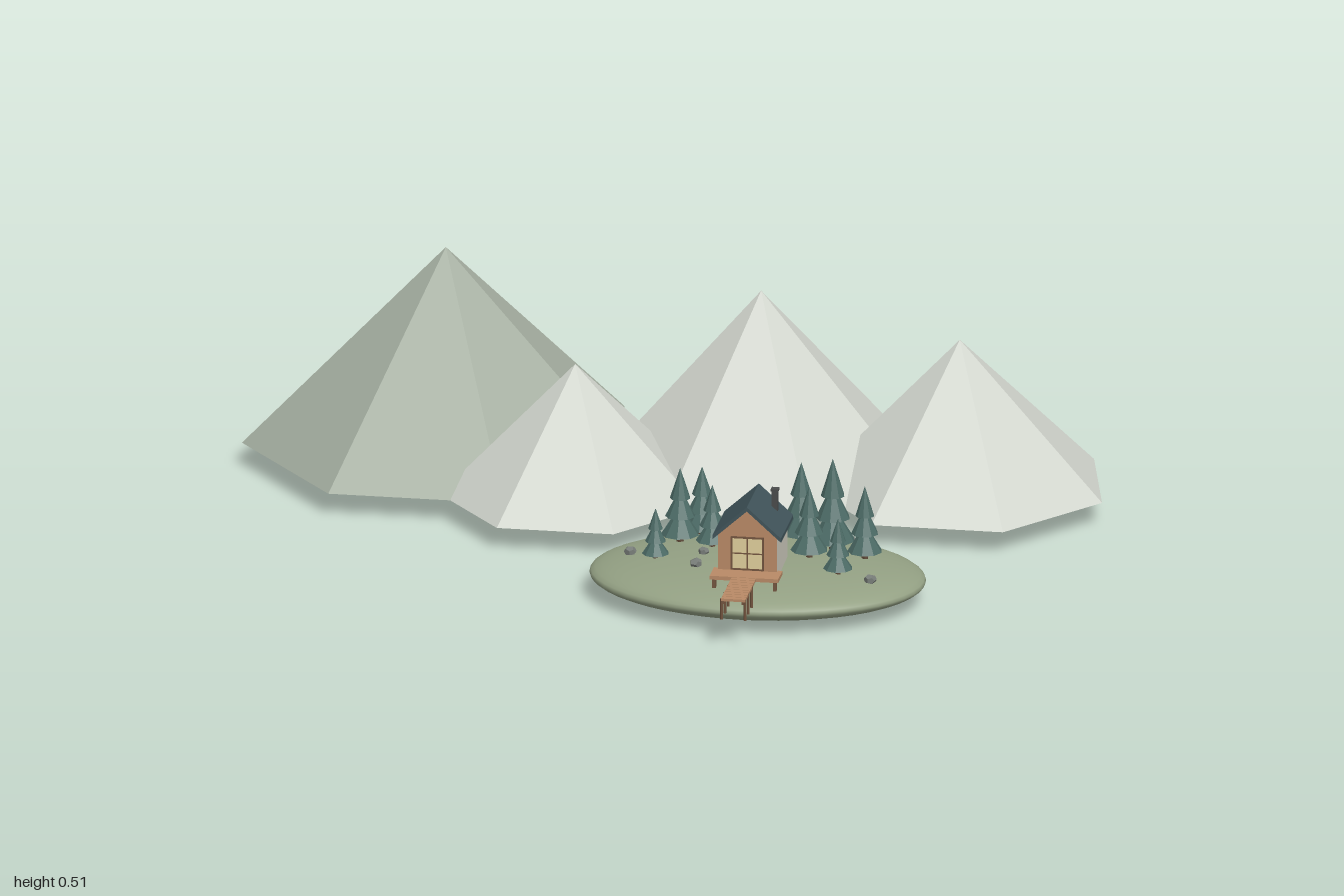
import * as THREE from 'three';

const material = (color, flatShading = false, side = THREE.FrontSide) =>
  new THREE.MeshStandardMaterial({ color, flatShading, side });

const M = {
  farPeak: material(0xa6b0a2, true),
  peak: material(0xd2d6ce, true),
  grass: material(0x93a083),
  foliage: material(0x4c6b66, true),
  trunk: material(0x5e4837, true),
  rock: material(0x777c78, true),
  wood: material(0xb98a66),
  darkWood: material(0x74553f),
  wall: material(0xcccabc),
  roof: material(0x40545a),
  glass: material(0xe0cf9c),
  chimney: material(0x4a4c4c),
};

function add(parent, name, geometry, mat, x = 0, y = 0, z = 0) {
  const mesh = new THREE.Mesh(geometry, mat);
  mesh.name = name;
  mesh.position.set(x, y, z);
  parent.add(mesh);
  return mesh;
}

const box = (w, h, d) => new THREE.BoxGeometry(w, h, d);

function group(parent, name, x = 0, y = 0, z = 0) {
  const g = new THREE.Group();
  g.name = name;
  g.position.set(x, y, z);
  parent.add(g);
  return g;
}

const ISLAND = { x: 0.305, y: 0.053, z: 0.46, rx: 0.386, ry: 0.053, rz: 0.27 };

// Height of the island surface under a point
function groundY(x, z) {
  const u = (x - ISLAND.x) / ISLAND.rx, v = (z - ISLAND.z) / ISLAND.rz;
  return ISLAND.y + ISLAND.ry * Math.sqrt(Math.max(0, 1 - u * u - v * v));
}

// Seven-sided peaks with one corner pointing to the back
function buildMountains(root) {
  const mountains = group(root, 'mountains');
  const base = 0.053;
  [
    [-0.55, -0.355, 0.465, 0.515, M.farPeak],
    [0.19, -0.28, 0.385, 0.478, M.peak],
    [0.655, -0.24, 0.35, 0.4, M.peak],
    [-0.2, -0.045, 0.31, 0.36, M.peak],
  ].forEach(([x, z, r, top, mat]) => {
    const h = top - base;
    add(mountains, 'mountain', new THREE.ConeGeometry(r, h, 7), mat, x, base + h / 2, z).rotation.y = Math.PI;
  });
}

// Trunk and three stacked cones
function buildTree(parent, x, z, r, top) {
  const y = groundY(x, z) - 0.004;
  const h = top - y;
  const tree = group(parent, 'tree', x, y, z);
  add(tree, 'trunk', new THREE.CylinderGeometry(r * 0.16, r * 0.2, h * 0.2, 6), M.trunk, 0, h * 0.1, 0);
  [[1, 0.12, 0.5], [0.78, 0.36, 0.74], [0.54, 0.6, 1]].forEach(([s, lo, hi]) => {
    add(tree, 'foliage', new THREE.ConeGeometry(r * s, (hi - lo) * h, 9), M.foliage, 0, (lo + hi) / 2 * h, 0);
  });
}

function polygon(points, depth) {
  const shape = new THREE.Shape(points.map(([x, y]) => new THREE.Vector2(x, y)));
  return new THREE.ExtrudeGeometry(shape, { depth, bevelEnabled: false });
}

function buildCabin(root) {
  const cabin = group(root, 'cabin', 0.307, 0, 0);
  const w = 0.068, eave = 0.203, ridge = 0.264, back = 0.47, front = 0.612;

  // Walls, wooden front and wooden back gable
  add(cabin, 'walls', polygon([[-w, 0.09], [w, 0.09], [w, eave], [0, ridge], [-w, eave]], front - back),
    M.wall, 0, 0, back);
  add(cabin, 'frontWall', polygon([[-w, 0.09], [w, 0.09], [w, eave], [0, ridge], [-w, eave]], 0.004),
    M.wood, 0, 0, front);
  add(cabin, 'backGable', polygon([[-w, eave], [w, eave], [0, ridge]], 0.004), M.wood, 0, 0, back - 0.004);

  // Gable roof with a slight overhang
  const e = 0.079, t = 0.01;
  add(cabin, 'roof', polygon([
    [-e, 0.193], [0, ridge], [e, 0.193], [e, 0.193 + t], [0, ridge + t], [-e, 0.193 + t],
  ], 0.168), M.roof, 0, 0, 0.457);

  // Large front window with frame and glazing bars
  const win = group(cabin, 'window', 0, 0.16, front + 0.005);
  add(win, 'glass', box(0.07, 0.076, 0.002), M.glass);
  for (const s of [-1, 1]) {
    add(win, 'frameSide', box(0.004, 0.08, 0.005), M.darkWood, s * 0.036, 0, 0);
    add(win, 'frameRail', box(0.076, 0.004, 0.005), M.darkWood, 0, s * 0.038, 0);
  }
  add(win, 'glazingBar', box(0.003, 0.076, 0.004), M.darkWood);
  add(win, 'glazingBar', box(0.07, 0.003, 0.004), M.darkWood);

  // Chimney
  add(cabin, 'chimney', box(0.014, 0.06, 0.014), M.chimney, 0.045, 0.248, 0.502);
  add(cabin, 'chimneyCap', box(0.018, 0.005, 0.018), M.chimney, 0.045, 0.278, 0.502);
}

function buildDock(root) {
  const dock = group(root, 'dock', 0.307, 0, 0);
  const y = 0.114;
  add(dock, 'deck', box(0.158, 0.009, 0.06), M.wood, 0, y, 0.635);

  // Planked walkway on two beams
  const planks = 9, start = 0.665, end = 0.816, pitch = (end - start) / planks;
  for (let i = 0; i < planks; i++) {
    add(dock, 'plank', box(0.056, 0.006, pitch * 0.86), M.wood, 0, y + 0.001, start + pitch * (i + 0.5));
  }
  for (const s of [-1, 1]) {
    add(dock, 'beam', box(0.005, 0.006, end - start), M.darkWood, s * 0.022, y - 0.005, (start + end) / 2);
    for (const z of [0.72, 0.767, 0.811]) {
      add(dock, 'post', new THREE.CylinderGeometry(0.0035, 0.0035, 0.05, 6), M.darkWood, s * 0.027, 0.092, z);
    }
    add(dock, 'deckPost', box(0.008, 0.03, 0.008), M.darkWood, s * 0.07, 0.098, 0.655);
  }
}

export function createModel() {
  const root = new THREE.Group();
  root.name = 'lakeIslandScene';

  buildMountains(root);

  // Island: flattened ball
  add(root, 'island', new THREE.SphereGeometry(1, 48, 24), M.grass, ISLAND.x, ISLAND.y, ISLAND.z)
    .scale.set(ISLAND.rx, ISLAND.ry, ISLAND.rz);

  buildCabin(root);
  buildDock(root);

  // Trees: x, z, radius, top height
  const trees = group(root, 'trees');
  [
    [0.15, 0.3, 0.043, 0.252], [0.112, 0.375, 0.044, 0.272], [0.193, 0.417, 0.038, 0.25],
    [0.075, 0.495, 0.031, 0.214], [0.385, 0.337, 0.046, 0.288], [0.465, 0.38, 0.051, 0.316],
    [0.545, 0.417, 0.04, 0.267], [0.423, 0.455, 0.043, 0.273], [0.503, 0.537, 0.034, 0.228],
  ].forEach((t) => buildTree(trees, ...t));

  // Rocks: x, z, radius
  const rocks = group(root, 'rocks');
  [
    [0.01, 0.455, 0.015], [0.177, 0.547, 0.015], [0.182, 0.47, 0.013], [0.245, 0.268, 0.012],
    [0.32, 0.28, 0.01], [0.303, 0.327, 0.014], [0.49, 0.283, 0.012], [0.58, 0.553, 0.015],
    [0.35, 0.402, 0.011], [0.217, 0.337, 0.013], [0.315, 0.3, 0.012],
  ].forEach(([x, z, r], i) => {
    const rock = add(rocks, 'rock', new THREE.DodecahedronGeometry(r), M.rock, x, groundY(x, z) + r * 0.4, z);
    rock.scale.y = 0.8;
    rock.rotation.y = i * 1.3;
  });

  return root;
}
